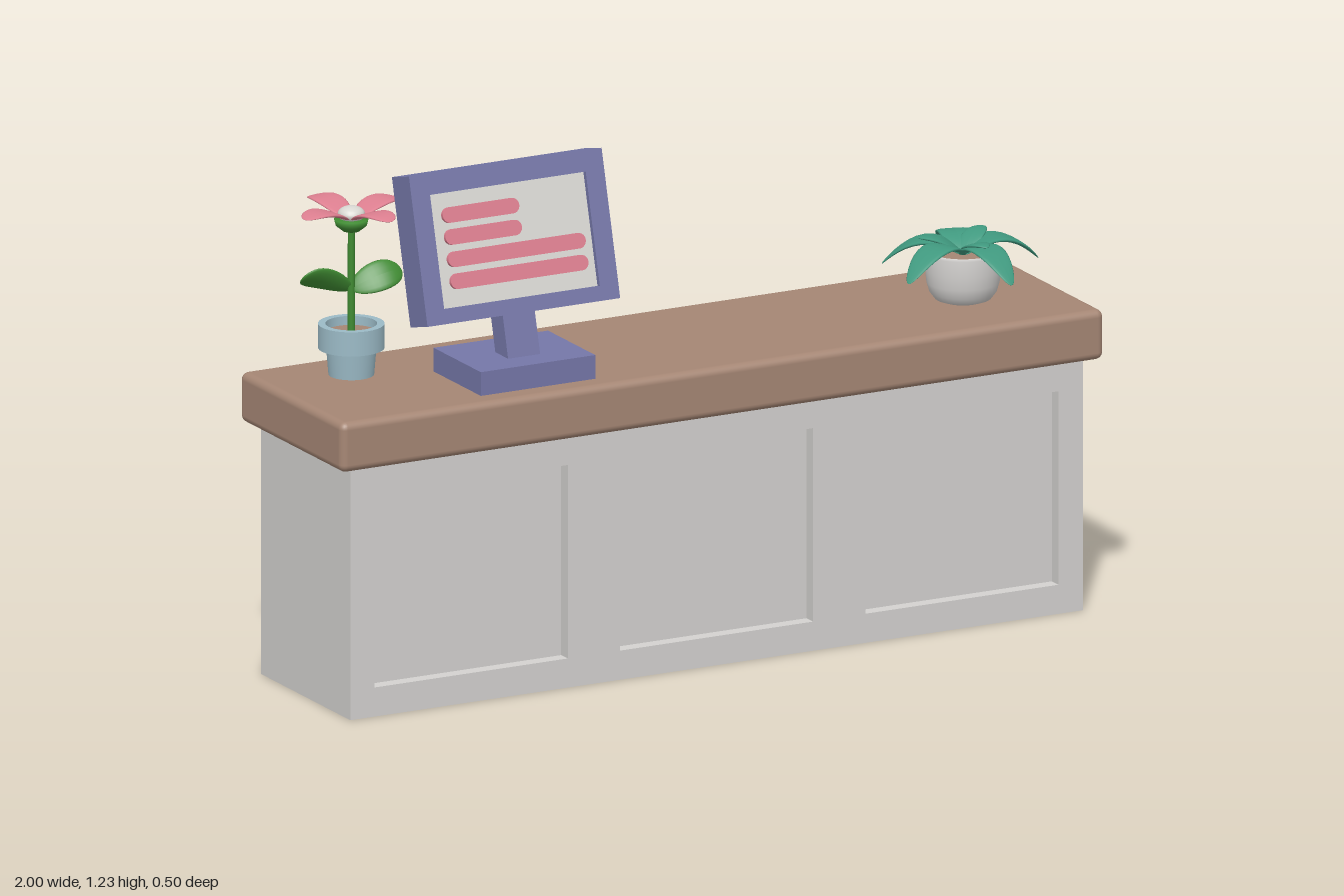
import * as THREE from 'three';
import { RoundedBoxGeometry } from 'three/addons/geometries/RoundedBoxGeometry.js';

const paint = (name, color) => {
  const m = new THREE.MeshStandardMaterial({ color });
  m.name = name;
  return m;
};

// rectangle outline, usable as shape or hole
const rect = (Type, x0, y0, x1, y1) => {
  const p = new Type();
  p.moveTo(x0, y0);
  p.lineTo(x1, y0);
  p.lineTo(x1, y1);
  p.lineTo(x0, y1);
  p.closePath();
  return p;
};

// slab pierced by rectangular openings
function framed(outer, holes, depth) {
  const s = rect(THREE.Shape, ...outer);
  holes.forEach((h) => s.holes.push(rect(THREE.Path, ...h)));
  return new THREE.ExtrudeGeometry(s, { depth, bevelEnabled: false });
}

// curved blade growing along +x: height follows rise*t + bend*t^2, tip narrows by `point`
function blade(length, width, thick, rise, bend, point = 0, start = 0) {
  const g = new THREE.SphereGeometry(1, 16, 16).rotateZ(-Math.PI / 2);
  const p = g.attributes.position;
  for (let i = 0; i < p.count; i++) {
    const t = (p.getX(i) + 1) / 2;
    const z = p.getZ(i) * (width / 2) * (1 - point * t * t);
    const cup = 2 * z * z;
    p.setXYZ(i, start + t * length, rise * t + bend * t * t + p.getY(i) * thick + cup, z);
  }
  g.computeVertexNormals();
  return g;
}

const lathe = (pts) =>
  new THREE.LatheGeometry(pts.map(([r, y]) => new THREE.Vector2(r, y)), 32);

export function createModel() {
  const wood = paint('wood', 0xa58674);
  const cabinet = paint('cabinet grey', 0xd3d1cf);
  const casing = paint('casing violet', 0x7577a8);
  const display = paint('display grey', 0xd8d7d2);
  const pink = paint('pink', 0xdd7f90);
  const stemGreen = paint('stem green', 0x3f8a32);
  const teal = paint('leaf teal', 0x40997f);
  const potBlue = paint('pot blue', 0x9bbac6);
  potBlue.side = cabinet.side = THREE.DoubleSide;

  const root = new THREE.Group();
  root.name = 'receptionDesk';
  const group = (name, x, y, z, parent = root) => {
    const g = new THREE.Group();
    g.name = name;
    g.position.set(x, y, z);
    parent.add(g);
    return g;
  };
  const add = (parent, name, geo, mat, x = 0, y = 0, z = 0) => {
    const m = new THREE.Mesh(geo, mat);
    m.name = name;
    m.position.set(x, y, z);
    parent.add(m);
    return m;
  };

  // desk: slab top on a cabinet with recessed panels front and back
  add(root, 'deskTop', new RoundedBoxGeometry(2, 0.12, 0.5, 3, 0.018), wood, 0, 0.665, 0);
  add(root, 'cabinetCore', new THREE.BoxGeometry(1.92, 0.605, 0.37), cabinet, 0, 0.3025, 0);
  const holes = [-0.643, 0, 0.643].map((c) => [c - 0.253, 0.07, c + 0.253, 0.535]);
  const panelFrame = framed([-0.96, 0, 0.96, 0.605], holes, 0.032);
  add(root, 'frontPanelFrame', panelFrame, cabinet, 0, 0, 0.185);
  add(root, 'backPanelFrame', panelFrame, cabinet, 0, 0, -0.185).rotation.y = Math.PI;

  // monitor: foot, then the tilted head
  add(root, 'monitorFoot', new THREE.BoxGeometry(0.3, 0.058, 0.23), casing, -0.456, 0.753, 0.08);
  const head = group('monitorHead', -0.456, 1.045, 0.039);
  head.rotation.x = -Math.PI / 12;
  add(head, 'monitorNeck', new THREE.BoxGeometry(0.084, 0.15, 0.06), casing, 0, -0.225, -0.013);
  add(head, 'monitorBack', new THREE.BoxGeometry(0.505, 0.35, 0.068), casing, 0, 0, -0.009);
  add(head, 'monitorBezel',
    framed([-0.2525, -0.175, 0.2525, 0.175], [[-0.204, -0.14, 0.204, 0.126]], 0.018),
    casing, 0, 0, 0.025);
  add(head, 'screen', new THREE.BoxGeometry(0.408, 0.266, 0.006), display, 0, -0.007, 0.028);

  // housing tapering to the rear
  const housing = new THREE.BoxGeometry(0.45, 0.274, 0.075);
  const hp = housing.attributes.position;
  for (let i = 0; i < hp.count; i++)
    if (hp.getZ(i) < 0) hp.setXY(i, hp.getX(i) * 0.88, hp.getY(i) * 0.8);
  housing.computeVertexNormals();
  add(head, 'monitorHousing', housing, casing, 0, 0, -0.079);

  // rounded bars on the screen
  [[0.073, 0.2], [0.022, 0.2], [-0.03, 0.36], [-0.081, 0.36]].forEach(([y, w]) => {
    const r = 0.018;
    const s = new THREE.Shape();
    s.absarc(r, 0, r, Math.PI / 2, Math.PI * 1.5);
    s.absarc(w - r, 0, r, -Math.PI / 2, Math.PI / 2);
    add(head, 'screenBar', new THREE.ExtrudeGeometry(s, { depth: 0.009, bevelEnabled: false }),
      pink, -0.176, y, 0.031);
  });

  // flower in a rimmed pot
  const flower = group('flowerPlant', -0.783, 0.725, -0.107);
  add(flower, 'flowerPotBody', new THREE.CylinderGeometry(0.059, 0.053, 0.07, 32), potBlue, 0, 0.035, 0);
  const rim = [[0.058, 0.064], [0.077, 0.064], [0.077, 0.122], [0.06, 0.122], [0.06, 0.095]];
  for (let i = 0; i < rim.length - 1; i++)
    add(flower, 'flowerPotRim', lathe([rim[i], rim[i + 1]]), potBlue);
  add(flower, 'soil', new THREE.CylinderGeometry(0.061, 0.058, 0.035, 32), wood, 0, 0.083, 0);
  add(flower, 'stem', new THREE.CylinderGeometry(0.008, 0.009, 0.27, 12), stemGreen, 0, 0.225, 0);
  add(flower, 'calyx', lathe([[0, 0], [0.02, 0.002], [0.036, 0.015], [0.04, 0.03], [0, 0.034]]),
    stemGreen, 0, 0.343, 0);
  [0, Math.PI].forEach((a) => {
    const pivot = group('stemLeafPivot', 0, 0.205, 0, flower);
    pivot.rotation.y = a - 0.0 + 0.18;
    const leaf = add(pivot, 'stemLeaf', blade(0.118, 0.075, 0.009, 0.11, -0.06), stemGreen);
    leaf.rotation.x = 0.85;
  });
  for (let i = 0; i < 4; i++) {
    const petal = add(flower, 'petal', blade(0.13, 0.074, 0.006, 0.085, -0.06, -0.15, 0.012), pink, 0, 0.372, 0);
    petal.rotation.y = 0.21 + (i * Math.PI) / 2;
  }
  const eye = add(flower, 'flowerCentre', new THREE.SphereGeometry(0.032, 20, 12), display, 0, 0.385, 0);
  eye.scale.y = 0.6;

  // broad-leaved plant in a rounded bowl
  const plant = group('bowlPlant', 0.752, 0.725, 0.02);
  add(plant, 'bowl', lathe([[0, 0], [0.05, 0], [0.066, 0.006], [0.078, 0.022], [0.085, 0.045],
    [0.088, 0.075], [0.089, 0.115], [0.085, 0.121], [0.078, 0.118], [0.076, 0.1]]), cabinet);
  add(plant, 'bowlSoil', new THREE.CylinderGeometry(0.077, 0.077, 0.01, 32), wood, 0, 0.1, 0);
  [1.31, -0.07, -1.43, -2.79, 2.5].forEach((a) => {
    add(plant, 'outerLeaf', blade(0.19, 0.088, 0.007, 0.15, -0.18, 0.3), teal, 0, 0.108, 0).rotation.y = a;
  });
  [0.6, 2.7, -1.5].forEach((a) => {
    add(plant, 'innerLeaf', blade(0.105, 0.06, 0.006, 0.09, -0.05, 0.3), teal, 0, 0.11, 0).rotation.y = a;
  });

  return root;
}
